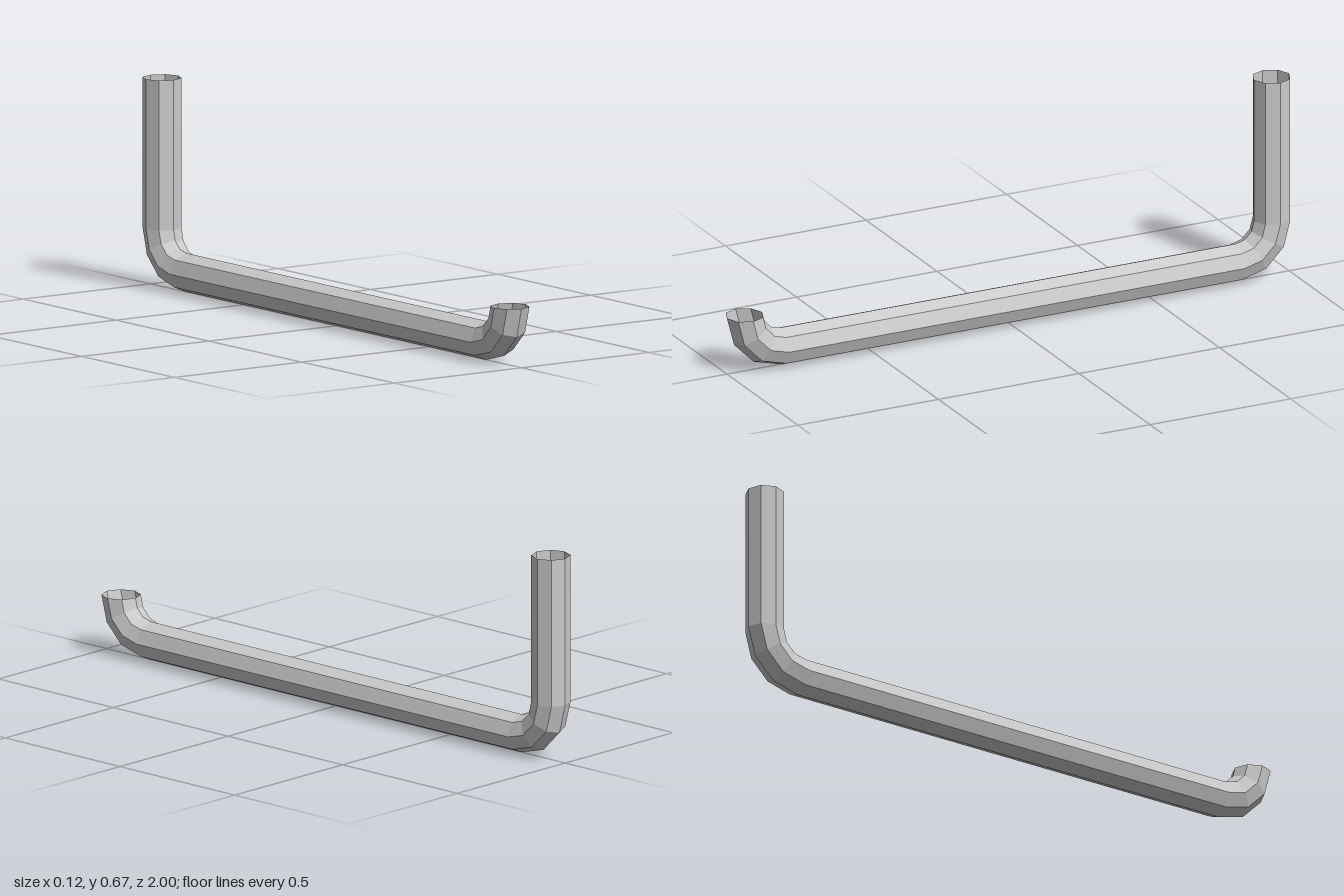
import * as THREE from 'three';

const SIDES = 8, PIPE_R = 0.0625, BEND_R = 0.1275;
const BEND_Z = 0.81, BEND_Y = 0.192, TOP_Y = 0.675;

// Cross-section stations from the short front end to the tall back end.
// t is the bend angle: 90 faces the front, 0 faces down, -90 faces the back.
function stations() {
  const list = [];
  for (let t = 90; t >= 0; t -= 30) list.push({ t, z: BEND_Z, y: BEND_Y });
  for (let t = 0; t >= -90; t -= 30) list.push({ t, z: -BEND_Z, y: BEND_Y });
  list.push({ t: -90, z: -BEND_Z, y: TOP_Y });
  return list;
}

// Open octagonal tube swept through the stations
function pipeGeometry() {
  const rings = stations();
  const positions = [], index = [];
  rings.forEach(({ t, z, y }, i) => {
    const a = THREE.MathUtils.degToRad(t);
    for (let j = 0; j < SIDES; j++) {
      const b = (j / SIDES) * Math.PI * 2;
      const reach = BEND_R + PIPE_R * Math.sin(b);
      positions.push(PIPE_R * Math.cos(b), y - reach * Math.cos(a), z + reach * Math.sin(a));
      if (i === rings.length - 1) continue;
      const p = i * SIDES + j, q = i * SIDES + ((j + 1) % SIDES);
      index.push(p, q, q + SIDES, p, q + SIDES, p + SIDES);
    }
  });
  const geometry = new THREE.BufferGeometry();
  geometry.setAttribute('position', new THREE.Float32BufferAttribute(positions, 3));
  geometry.setIndex(index);
  const flat = geometry.toNonIndexed();
  flat.computeVertexNormals();
  return flat;
}

export function createModel() {
  const group = new THREE.Group();
  group.name = 'bentPipe';
  const material = new THREE.MeshStandardMaterial({
    color: 0xcccccc, flatShading: true, side: THREE.DoubleSide,
  });
  const pipe = new THREE.Mesh(pipeGeometry(), material);
  pipe.name = 'pipe';
  group.add(pipe);
  return group;
}
